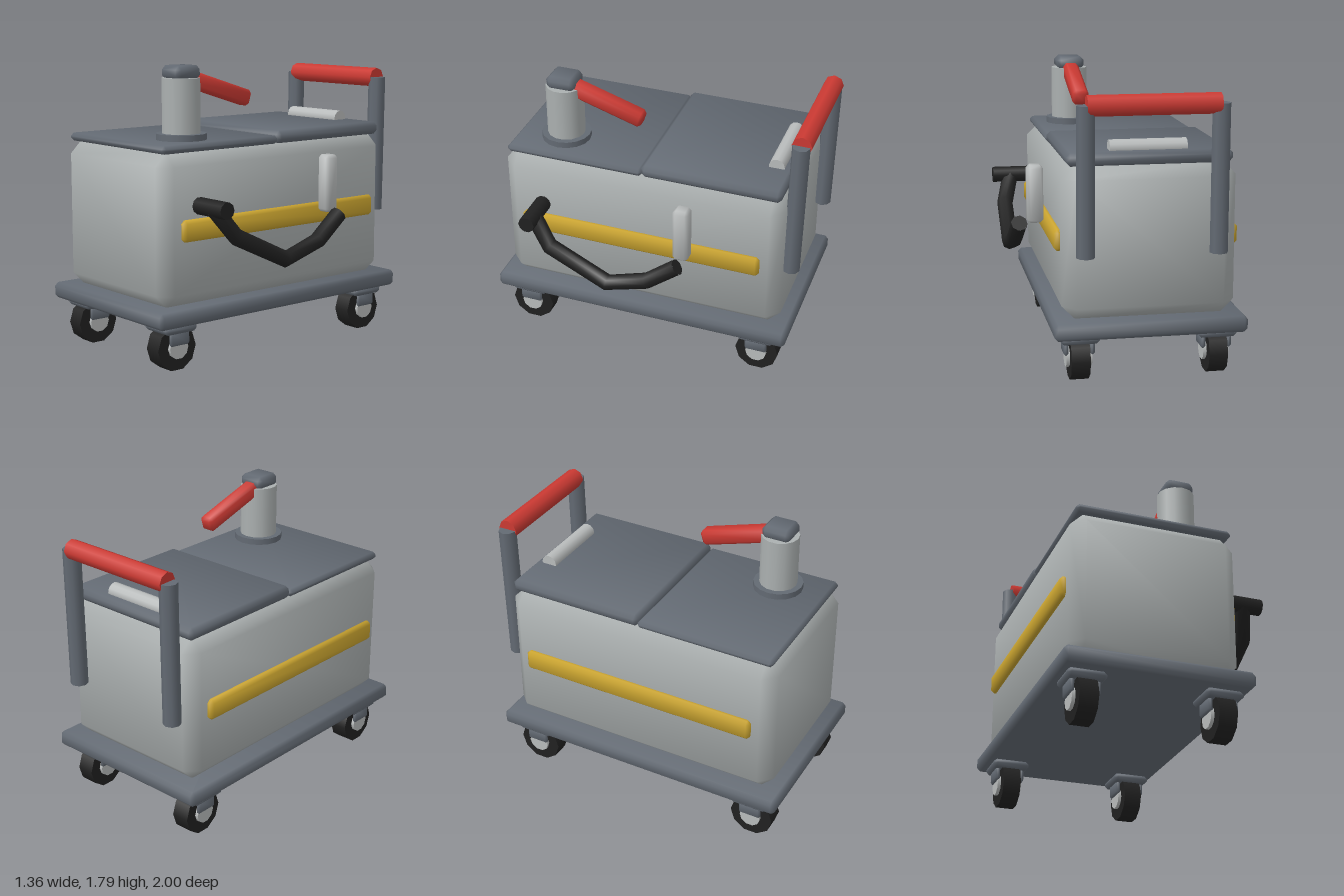
import * as THREE from 'three';
import { ConvexGeometry } from 'three/addons/geometries/ConvexGeometry.js';

const material = (name, color, side = THREE.FrontSide) => {
  const m = new THREE.MeshStandardMaterial({ color, side });
  m.name = name;
  return m;
};

// Box with single chamfers and soft normals, given its min and max on each axis
function chamferGeometry(size, bevel) {
  const half = size.map(s => s / 2);
  const points = [];
  for (let axis = 0; axis < 3; axis++)
    for (let corner = 0; corner < 8; corner++)
      points.push(new THREE.Vector3(...half.map((h, i) =>
        (corner >> i & 1 ? 1 : -1) * (i === axis ? h : h - bevel))));
  const geometry = new ConvexGeometry(points);
  const pos = geometry.attributes.position, normal = geometry.attributes.normal;
  const n = new THREE.Vector3();
  for (let v = 0; v < pos.count; v++) {
    const p = [pos.getX(v), pos.getY(v), pos.getZ(v)];
    n.set(...p.map((c, i) => Math.sign(c) * (Math.abs(c) > half[i] - bevel / 2 ? 1 : 0.35))).normalize();
    normal.setXYZ(v, n.x, n.y, n.z);
  }
  return geometry;
}

// Curve that visits its points at even steps, so a tube bends exactly there
class Polyline extends THREE.Curve {
  constructor(points) { super(); this.points = points; }
  getPoint(t, target = new THREE.Vector3()) {
    const n = this.points.length - 1;
    const i = Math.min(Math.floor(t * n + 1e-6), n - 1);
    return target.lerpVectors(this.points[i], this.points[i + 1], t * n - i);
  }
  getPointAt(t, target) { return this.getPoint(t, target); }
  getTangentAt(t, target) { return this.getTangent(t, target); }
}

export function createModel() {
  const model = new THREE.Group();
  model.name = 'serviceCart';

  const steel = material('darkGreySteel', 0x636a73);
  const body = material('bodyGrey', 0xabb0b0);
  const metal = material('lightMetal', 0xb9bcbc);
  const red = material('gripRed', 0xcc3a33);
  const yellow = material('stripeYellow', 0xcaa42f);
  const rubber = material('blackRubber', 0x212121);
  const hoseRubber = rubber;

  const add = (name, geometry, mat, parent = model) => {
    const mesh = new THREE.Mesh(geometry, mat);
    mesh.name = name;
    parent.add(mesh);
    return mesh;
  };
  const box = (name, mat, min, max, bevel, parent) => {
    const mesh = add(name, chamferGeometry(max.map((m, i) => m - min[i]), bevel), mat, parent);
    mesh.position.set(...max.map((m, i) => (m + min[i]) / 2));
    return mesh;
  };
  // Cylinder running from one point to another
  const rod = (name, mat, from, to, radius, sides, parent) => {
    const a = new THREE.Vector3(...from), b = new THREE.Vector3(...to);
    const mesh = add(name, new THREE.CylinderGeometry(radius, radius, a.distanceTo(b), sides), mat, parent);
    mesh.position.copy(a).add(b).multiplyScalar(0.5);
    mesh.quaternion.setFromUnitVectors(new THREE.Vector3(0, 1, 0), b.sub(a).normalize());
    return mesh;
  };

  const cx = -0.1; // middle of the cart

  // Platform, tank body and the two lids
  box('platform', steel, [-0.68, 0.29, -0.95], [0.48, 0.39, 1.0], 0.022);
  box('tankBody', body, [-0.62, 0.385, -0.885], [0.42, 1.31, 0.935], 0.08);
  box('frontLid', steel, [-0.595, 1.305, 0.02], [0.395, 1.355, 0.91], 0.02);
  box('rearLid', steel, [-0.595, 1.305, -0.86], [0.395, 1.385, 0.025], 0.025);
  rod('lidHandle', metal, [-0.33, 1.395, -0.757], [0.132, 1.395, -0.757], 0.05, 12);

  // Side stripes
  for (const s of [-1, 1])
    box('sideStripe', yellow, [cx + s * 0.525 - 0.03, 0.785, -0.755], [cx + s * 0.525 + 0.03, 0.915, 0.805], 0.02);

  // Push handle
  const pushHandle = new THREE.Group();
  pushHandle.name = 'pushHandle';
  model.add(pushHandle);
  for (const s of [-1, 1])
    rod('handlePost', steel, [cx + s * 0.395, 0.785, -0.922], [cx + s * 0.395, 1.67, -0.936], 0.055, 8, pushHandle);
  rod('handleGrip', red, [cx - 0.39, 1.668, -0.938], [cx + 0.39, 1.668, -0.938], 0.062, 8, pushHandle);

  // Pump with cap and lever
  const pump = new THREE.Group();
  pump.name = 'pump';
  model.add(pump);
  rod('pumpFlange', steel, [0.16, 1.35, 0.6], [0.16, 1.393, 0.6], 0.155, 16, pump);
  rod('pumpColumn', body, [0.16, 1.39, 0.6], [0.16, 1.725, 0.6], 0.118, 14, pump);
  box('pumpCap', steel, [0.07, 1.715, 0.508], [0.25, 1.8, 0.692], 0.025, pump);
  const lever = box('pumpLever', red, [-0.05, -0.05, -0.27], [0.05, 0.05, 0.27], 0.02, pump);
  lever.position.set(0.16, 1.655, 0.342);
  lever.rotation.x = -0.304;

  // Holster, nozzle and hanging hose
  box('hoseHolster', metal, [0.46, 0.865, -0.337], [0.56, 1.225, -0.237], 0.02);
  rod('hoseNozzle', rubber, [0.415, 0.99, 0.67], [0.68, 0.99, 0.67], 0.052, 10);
  const path = new Polyline([
    [0.56, 0.99, 0.675], [0.612, 0.815, 0.548], [0.62, 0.634, 0.166], [0.62, 0.717, -0.1], [0.607, 0.861, -0.29],
  ].map(p => new THREE.Vector3(...p)));
  add('hose', new THREE.TubeGeometry(path, 4, 0.052, 8), hoseRubber);
  for (const [t, s] of [[0, -1], [1, 1]]) {
    const cap = add('hoseEnd', new THREE.CircleGeometry(0.052, 8), hoseRubber);
    cap.position.copy(path.getPoint(t));
    cap.quaternion.setFromUnitVectors(new THREE.Vector3(0, 0, 1), path.getTangent(t).multiplyScalar(s));
  }

  // Casters
  for (const s of [-1, 1]) for (const z of [0.807, -0.75]) {
    const caster = new THREE.Group();
    caster.name = 'caster';
    caster.position.set(cx + s * 0.417, 0, z);
    model.add(caster);
    box('casterPlate', steel, [-0.117, 0.24, -0.117], [0.117, 0.295, 0.117], 0.02, caster);
    rod('wheel', rubber, [-0.057, 0.14, 0], [0.057, 0.14, 0], 0.14, 10, caster);
    rod('wheelHub', metal, [-0.078, 0.145, 0], [0.078, 0.145, 0], 0.068, 10, caster);
    for (const f of [-1, 1])
      box('casterFork', steel, [f * 0.079 - 0.015, 0.163, -0.072], [f * 0.079 + 0.015, 0.25, 0.072], 0.012, caster);
  }
  return model;
}
